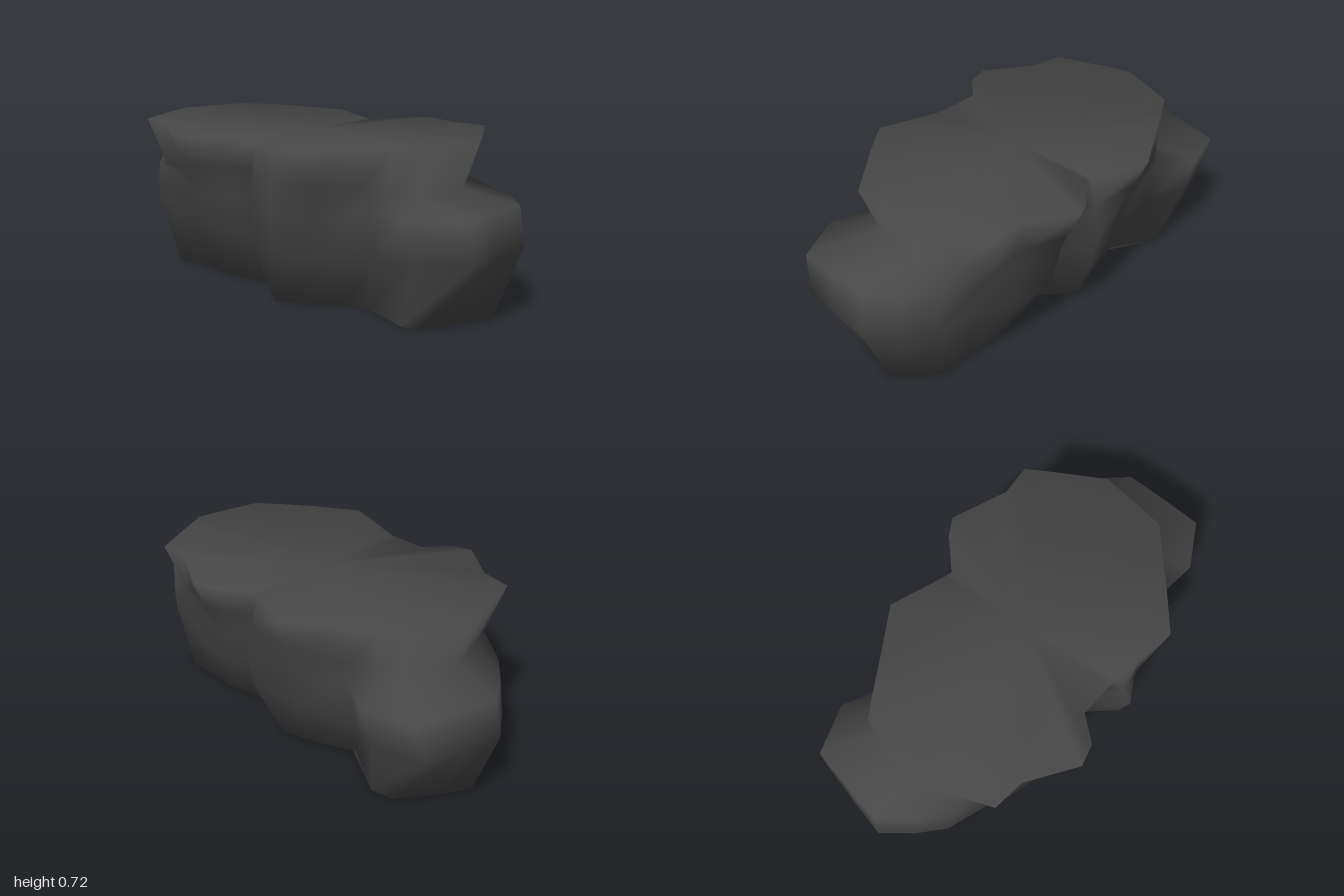
import * as THREE from 'three';

// Outline of the flat top, x,z pairs running front -> +x -> back -> -x
const TOP = [
  0, .44, .11, .48, .28, .54, .45, .43, .58, .34, .70, .26, .74, .12, .78, -.04, .74, -.14, .70, -.24,
  .64, -.38, .5, -.39, .28, -.53, .2, -.5, .06, -.4, .03, -.415, -.2, -.54, -.48, -.42, -.58, -.38, -.67, -.34,
  -.74, -.2, -.8, -.07, -.78, .05, -.75, .17, -.72, .29, -.58, .33, -.4, .5, -.3, .49, -.2, .4, -.04, .43,
];
// Matching outline of the bulging body with its two end lobes
const BODY = [
  .02, .52, .1, .48, .28, .42, .52, .38, .72, .45, .94, .37, .97, .2, 1, 0, .92, -.12, .79, -.23,
  .62, -.3, .45, -.36, .3, -.4, .2, -.38, .07, -.31, .05, -.47, -.2, -.43, -.48, -.42, -.65, -.54, -.88, -.5,
  -.95, -.3, -1, -.15, -.92, 0, -.83, .12, -.66, .22, -.57, .28, -.41, .36, -.3, .36, -.2, .32, -.06, .3,
];
// Matching outline of the base, undercut beside each lobe
const BASE = [
  .02, .34, .14, .3, .28, .24, .41, .2, .62, .32, .7, .33, .82, .15, .88, 0, .81, -.11, .71, -.19,
  .61, -.19, .47, -.21, .35, -.21, .22, -.18, .12, -.16, -.02, -.33, -.2, -.29, -.36, -.23, -.58, -.4, -.68, -.39,
  -.8, -.25, -.88, -.12, -.79, 0, -.72, .09, -.61, .08, -.52, .1, -.4, .15, -.3, .15, -.2, .14, -.11, .14,
];

const at = (line, i) => [line[2 * i], line[2 * i + 1]];

// Each ring gives the position [x, y, z] of column i
const RINGS = [
  // Base
  i => { const [x, z] = at(BASE, i); return [x, 0, z]; },
  // Belly
  i => { const [x, z] = at(BODY, i); return [x, Math.abs(x) > .6 ? .31 : .26, z * .92]; },
  // Shoulder of the lobes
  i => { const [x, z] = at(BODY, i); return [x * .975, Math.abs(x) > .44 ? .48 : .42, z]; },
  // Neck, pinched in above the lobes and blended between them
  i => {
    const [x, z] = at(TOP, i), [bx, bz] = at(BODY, i);
    return Math.abs(x) > .5 ? [x * .91, .51, z * .83] : [(x + bx) / 2, .57, (z + bz) / 2];
  },
  // Rim of the top
  i => { const [x, z] = at(TOP, i); return [x, .69 + .03 * Math.min(1, Math.abs(x) / .5), z]; },
];

function loftRock() {
  const n = TOP.length / 2;
  const positions = [], index = [];
  for (const ring of RINGS) {
    for (let i = 0; i < n; i++) positions.push(...ring(i));
  }
  const bottom = RINGS.length * n, top = bottom + 1, lastRing = (RINGS.length - 1) * n;
  positions.push(0, 0, 0, 0, .7, 0);
  for (let i = 0; i < n; i++) {
    const j = (i + 1) % n;
    // Sides
    for (let r = 0; r < lastRing; r += n) {
      index.push(r + i, r + j, r + n + j, r + i, r + n + j, r + n + i);
    }
    // Base and flat top
    index.push(bottom, j, i, top, lastRing + i, lastRing + j);
  }
  const geometry = new THREE.BufferGeometry();
  geometry.setAttribute('position', new THREE.Float32BufferAttribute(positions, 3));
  geometry.setIndex(index);
  geometry.computeVertexNormals();
  return geometry;
}

export function createModel() {
  const group = new THREE.Group();
  group.name = 'flatToppedRock';
  const stone = new THREE.MeshStandardMaterial({ color: 0x464646 });
  stone.name = 'darkStone';
  const rock = new THREE.Mesh(loftRock(), stone);
  rock.name = 'rock';
  group.add(rock);
  return group;
}
